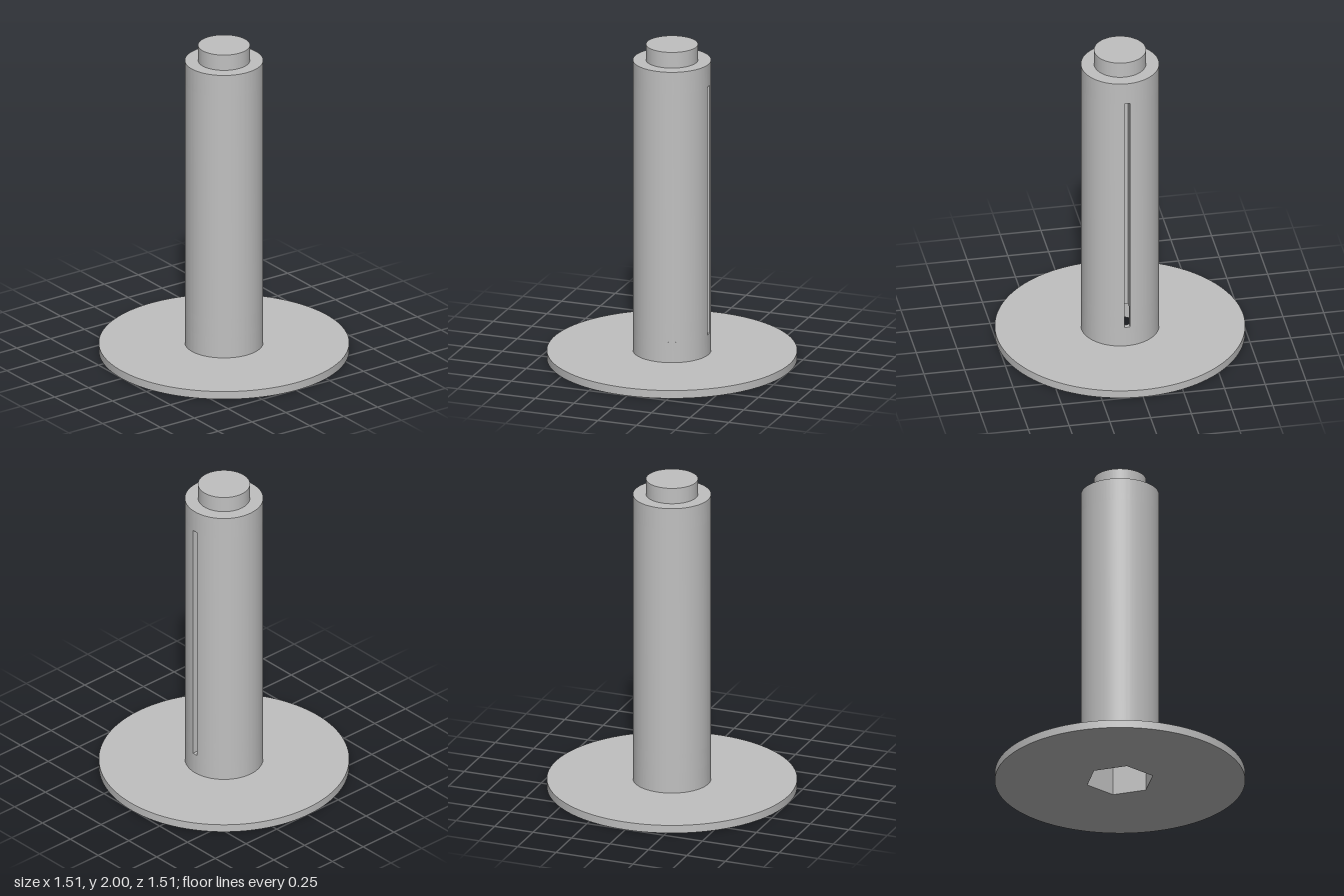
import * as THREE from 'three';
import { toCreasedNormals } from 'three/addons/utils/BufferGeometryUtils.js';

const FLANGE_R = 0.755, BODY_R = 0.236, PEG_R = 0.157;
const HEX_R = 0.208;        // socket, corner radius
const SLOT = 0.018;         // half width of the side slot
const SLOT_FLOOR = 0.16;    // how far in the slot reaches above the socket

const hexPoint = (i) => new THREE.Vector2(
  HEX_R * Math.cos(i * Math.PI / 3), HEX_R * Math.sin(i * Math.PI / 3));

// Solid disc, optionally with the hexagonal socket cut through it
function disc(radius, socket) {
  const shape = new THREE.Shape().absarc(0, 0, radius, 0, Math.PI * 2, false);
  if (socket) {
    shape.holes.push(new THREE.Path([5, 4, 3, 2, 1, 0].map(hexPoint)).closePath());
  }
  return shape;
}

// Body outline opened by the slot on the +x side, following the given inner points
function slotted(inner) {
  const a = Math.asin(SLOT / BODY_R);
  const shape = new THREE.Shape().absarc(0, 0, BODY_R, a, Math.PI * 2 - a, false);
  inner.forEach((p) => shape.lineTo(p.x, p.y));
  return shape.closePath();
}

export function createModel() {
  const model = new THREE.Group();
  model.name = 'flangedPost';
  const grey = new THREE.MeshStandardMaterial({ color: 0xc0c0c0 });
  grey.name = 'grey';

  // Extrudes a plan shape upwards between two heights
  function layer(name, shape, y0, y1, parent) {
    let geo = new THREE.ExtrudeGeometry(shape, { depth: y1 - y0, bevelEnabled: false, curveSegments: 96 });
    geo.rotateX(-Math.PI / 2).translate(0, y0, 0);
    geo = toCreasedNormals(geo, 0.5);
    const mesh = new THREE.Mesh(geo, grey);
    mesh.name = name;
    parent.add(mesh);
  }

  // Base flange with the socket opening
  layer('flange', disc(FLANGE_R, true), 0, 0.05, model);

  // Post: socket only, socket with slot, slot only, then solid
  const post = new THREE.Group();
  post.name = 'post';
  model.add(post);
  const mouth = HEX_R - SLOT / Math.sqrt(3);
  const socketEdge = [
    new THREE.Vector2(mouth, -SLOT),
    ...[5, 4, 3, 2, 1].map(hexPoint),
    new THREE.Vector2(mouth, SLOT),
  ];
  const grooveEdge = [
    new THREE.Vector2(SLOT_FLOOR, -SLOT),
    new THREE.Vector2(SLOT_FLOOR, SLOT),
  ];
  layer('postSocket', disc(BODY_R, true), 0.05, 0.18, post);
  layer('postSocketSlot', slotted(socketEdge), 0.18, 0.3, post);
  layer('postSlot', slotted(grooveEdge), 0.3, 1.76, post);
  layer('postHead', disc(BODY_R, false), 1.76, 1.9, post);

  // Narrow peg on top
  layer('peg', disc(PEG_R, false), 1.9, 2, model);

  return model;
}
